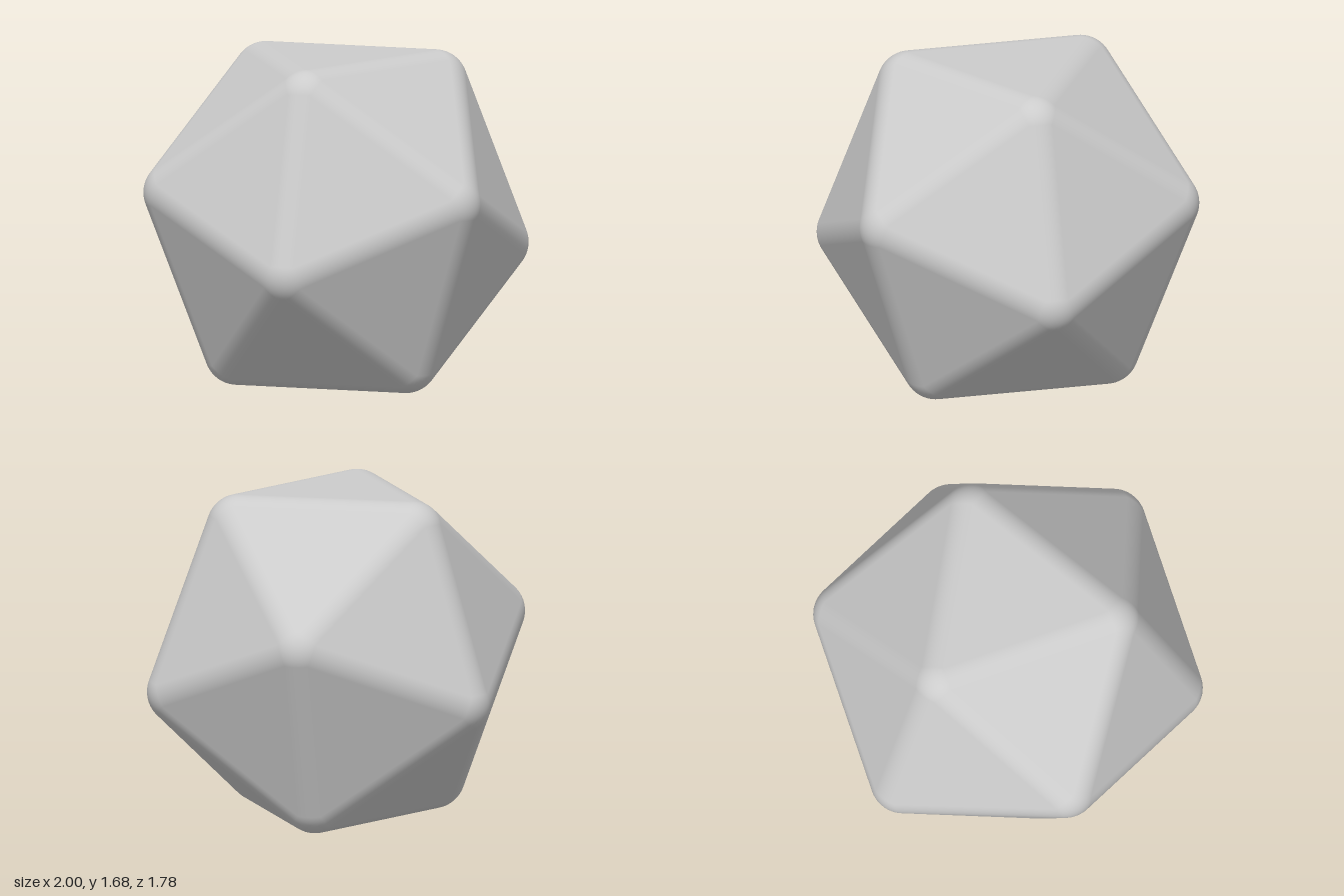
import * as THREE from 'three';

const R = 0.85;       // circumradius of the inner, sharp icosahedron
const ROUND = 0.165;  // radius of the rounded edges and corners
const SEG = 5;        // steps across half an edge

// Twelve corners of an icosahedron lying on one of its faces
function icosahedronCorners() {
  const corners = [];
  for (let i = 0; i < 3; i++) {
    const a = (i * 2 * Math.PI) / 3;
    const ring = new THREE.Vector3(0.9822 * Math.cos(a), 0.1876, 0.9822 * Math.sin(a));
    const cap = new THREE.Vector3(-0.607 * Math.cos(a), 0.7947, -0.607 * Math.sin(a));
    for (const v of [ring, cap]) {
      v.normalize().multiplyScalar(R);
      corners.push(v, v.clone().negate());
    }
  }
  return corners;
}

// All triples of neighbouring corners, wound outward
function icosahedronFaces(corners) {
  const near = (a, b) => a.distanceTo(b) < 1.2 * R;
  const faces = [];
  for (let i = 0; i < 12; i++) for (let j = i + 1; j < 12; j++) for (let k = j + 1; k < 12; k++) {
    const [a, b, c] = [corners[i], corners[j], corners[k]];
    if (!near(a, b) || !near(b, c) || !near(a, c)) continue;
    faces.push(a.dot(b.clone().cross(c)) > 0 ? [a, b, c] : [a, c, b]);
  }
  return faces;
}

function roundedIcosahedron() {
  const positions = [], normals = [], index = [];

  // A surface point: a base point pushed out along its normal
  const addPoint = (base, dir) => {
    const p = base.clone().addScaledVector(dir, ROUND);
    positions.push(p.x, p.y, p.z);
    normals.push(dir.x, dir.y, dir.z);
    return positions.length / 3 - 1;
  };

  // A grid patch from a function (u, v) -> [base, direction]
  const addPatch = (nu, nv, fn) => {
    const start = positions.length / 3;
    for (let j = 0; j <= nv; j++) for (let i = 0; i <= nu; i++) addPoint(...fn(i / nu, j / nv));
    for (let j = 0; j < nv; j++) for (let i = 0; i < nu; i++) {
      const p = start + j * (nu + 1) + i, q = p + nu + 1;
      index.push(p, p + 1, q + 1, p, q + 1, q);
    }
  };

  const mid = (a, b) => a.clone().add(b).normalize();
  const blend = (a, b, t) => a.clone().lerp(b, t);

  for (const face of icosahedronFaces(icosahedronCorners())) {
    const n = face[0].clone().add(face[1]).add(face[2]).normalize();

    // Flat face
    index.push(...face.map((v) => addPoint(v, n)));

    for (let i = 0; i < 3; i++) {
      const a = face[i], b = face[(i + 1) % 3], c = face[(i + 2) % 3];
      const ab = mid(a, b), ac = mid(a, c), tip = a.clone().normalize();

      // Half of the rounded edge between a and b
      addPatch(1, SEG, (u, v) => [blend(b, a, u), blend(n, ab, v).normalize()]);

      // This face's share of the rounded corner at a
      addPatch(SEG, SEG, (u, v) => [a, blend(blend(n, ac, u), blend(ab, tip, u), v).normalize()]);
    }
  }

  const geometry = new THREE.BufferGeometry();
  geometry.setAttribute('position', new THREE.Float32BufferAttribute(positions, 3));
  geometry.setAttribute('normal', new THREE.Float32BufferAttribute(normals, 3));
  geometry.setIndex(index);
  return geometry;
}

export function createModel() {
  const group = new THREE.Group();
  group.name = 'roundedDie';
  const body = new THREE.Mesh(roundedIcosahedron(), new THREE.MeshStandardMaterial({ color: 0xcccccc }));
  body.name = 'roundedIcosahedron';
  // Rest the bottom face on the ground
  body.position.y = 0.7947 * R + ROUND;
  group.add(body);
  return group;
}
